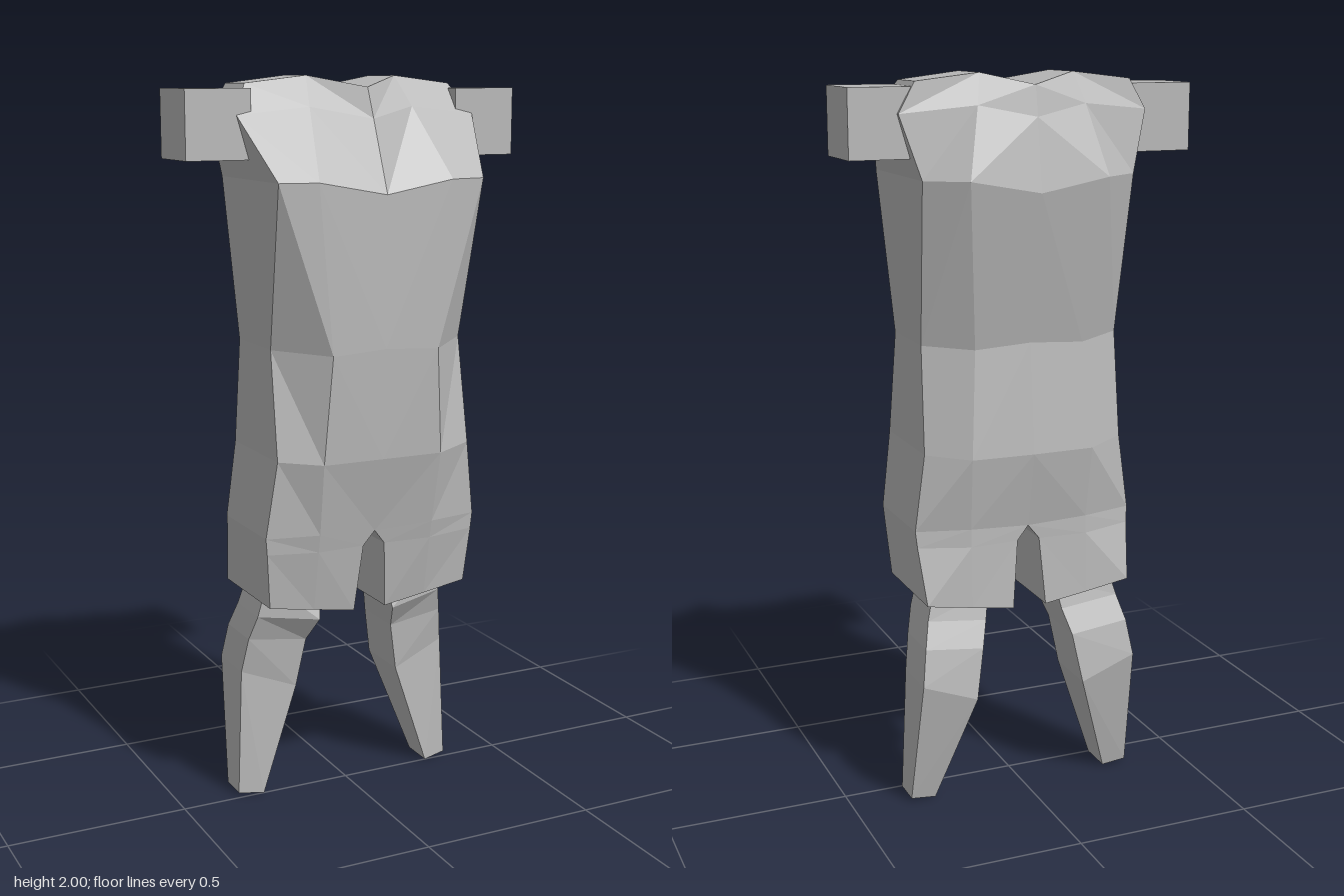
import * as THREE from 'three';

const grey = new THREE.MeshStandardMaterial({ color: 0xb8b8b8, flatShading: true });
grey.name = 'plain grey';

// Skins rings listed top to bottom. closedFrom: first band that also joins last point to first.
function loft(rings, side, closedFrom) {
  const pos = [];
  const tri = (a, b, c) => {
    for (const p of side > 0 ? [a, b, c] : [a, c, b]) pos.push(p[0] * side, p[1], p[2]);
  };
  const quad = (a, b, c, d) => { tri(a, b, c); tri(a, c, d); };
  const n = rings[0].length;
  for (let r = 0; r < rings.length - 1; r++) {
    const up = rings[r], low = rings[r + 1];
    const count = r >= closedFrom ? n : n - 1;
    for (let i = 0; i < count; i++) {
      const j = (i + 1) % n;
      quad(low[i], low[j], up[j], up[i]);
    }
  }
  // end caps as strips between the front and back halves
  const top = rings[0], bottom = rings[rings.length - 1];
  for (let i = 0; i < n / 2 - 1; i++) {
    quad(top[i], top[i + 1], top[n - 2 - i], top[n - 1 - i]);
    quad(bottom[n - 1 - i], bottom[n - 2 - i], bottom[i + 1], bottom[i]);
  }
  const geo = new THREE.BufferGeometry();
  geo.setAttribute('position', new THREE.Float32BufferAttribute(pos, 3));
  geo.computeVertexNormals();
  return geo;
}

// Half section of the body: x, y, front z, back z for the centre, the middle and the side
const bodyRing = (centre, middle, side) => {
  const outline = [centre, middle, side];
  return [
    ...outline.map(([x, y, front]) => [x, y, front]),
    ...outline.reverse().map(([x, y, , back]) => [x, y, back]),
  ];
};
const bodyRings = [
  bodyRing([0, 1.97, .12, -.19], [.13, 2, .02, -.13], [.3, 1.98, .01, -.12]), // neck
  bodyRing([0, 1.89, .155, -.205], [.15, 1.92, .085, -.17], [.346, 1.9, .065, -.125]), // shoulder
  bodyRing([0, 1.7, .235, -.235], [.193, 1.735, .235, -.23], [.297, 1.735, .215, -.16]), // chest
  bodyRing([0, 1.3, .235, -.16], [.155, 1.29, .235, -.155], [.282, 1.3, .12, -.09]), // waist
  bodyRing([0, 1, .22, -.19], [.175, 1, .22, -.185], [.287, 1.01, .17, -.12]), // hips
  bodyRing([0, .79, .17, -.15], [.17, .8, .183, -.158], [.316, .8, .155, -.12]), // crotch
  bodyRing([.032, .75, .165, -.152], [.17, .75, .173, -.16], [.312, .755, .153, -.125]),
  bodyRing([.048, .56, .14, -.163], [.17, .58, .142, -.167], [.299, .6, .138, -.165]), // hem
];

// inner x, inner y, outer x, outer y, inner front z, outer front z, back z
const legRings = [
  [.1, .6, .258, .64, .04, .03, -.1],
  [.115, .52, .285, .54, .065, .025, -.12],
  [.135, .45, .303, .47, .015, 0, -.15],
  [.16, .31, .318, .37, 0, -.02, -.17],
  [.262, .003, .333, .01, 0, -.015, -.098],
].map(([xi, yi, xo, yo, zi, zo, zb]) =>
  [[xi, yi, zi], [xo, yo, zo], [xo, yo, zb], [xi, yi, zb]]);

export function createModel() {
  const model = new THREE.Group();
  model.name = 'clothedBody';
  const add = (name, geo) => {
    const mesh = new THREE.Mesh(geo, grey);
    mesh.name = name;
    model.add(mesh);
    return mesh;
  };
  for (const side of [1, -1]) {
    const label = side > 0 ? 'left' : 'right';
    // shirt and shorts, joined along the centre line down to the crotch
    add(label + 'TorsoAndShorts', loft(bodyRings, side, 5)).position.x = 0.005;
    add(label + 'LowerLeg', loft(legRings, side, 0)).position.x = 0.003;
    // blocky arm stump
    add(label + 'ArmStump', new THREE.BoxGeometry(.18, .18, .18))
      .position.set(side * .39, 1.877, -.025);
  }
  return model;
}
